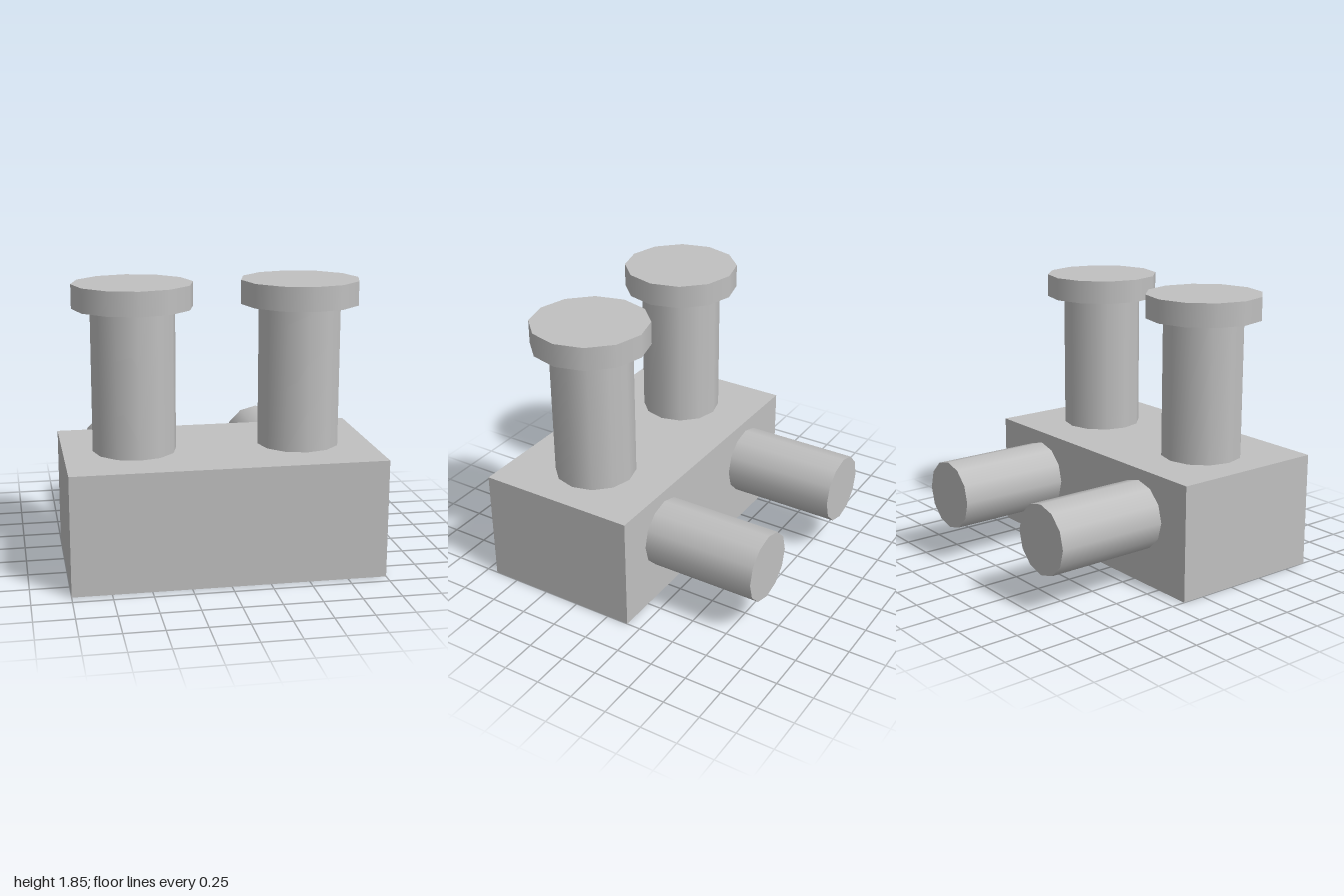
import * as THREE from 'three';

// All dimensions are whole or half multiples of one unit
const U = 2 / 26;

export function createModel() {
  const model = new THREE.Group();
  model.name = 'valveBlock';
  const grey = new THREE.MeshStandardMaterial({ color: 0xc0c0c0 });
  grey.name = 'plainGrey';

  const add = (name, geometry, x, y, z) => {
    const mesh = new THREE.Mesh(geometry, grey);
    mesh.name = name;
    mesh.position.set(x * U, y * U, z * U);
    model.add(mesh);
    return mesh;
  };
  // Smooth-shaded cylinder with twelve sides
  const cylinder = (radius, length) =>
    new THREE.CylinderGeometry(radius * U, radius * U, length * U, 12);

  // Main block
  add('block', new THREE.BoxGeometry(26 * U, 10 * U, 14 * U), 0, 5, 5);

  for (const [side, s] of [['left', 1], ['right', -1]]) {
    // Upright post with a wide cap
    add(side + 'Post', cylinder(3.5, 12), s * 7, 16, 5);
    add(side + 'Cap', cylinder(5, 2), s * 7, 23, 5);
    // Horizontal pipe out of the back
    add(side + 'Pipe', cylinder(3, 10), s * 7, 6, -7).rotation.x = -Math.PI / 2;
  }
  return model;
}
